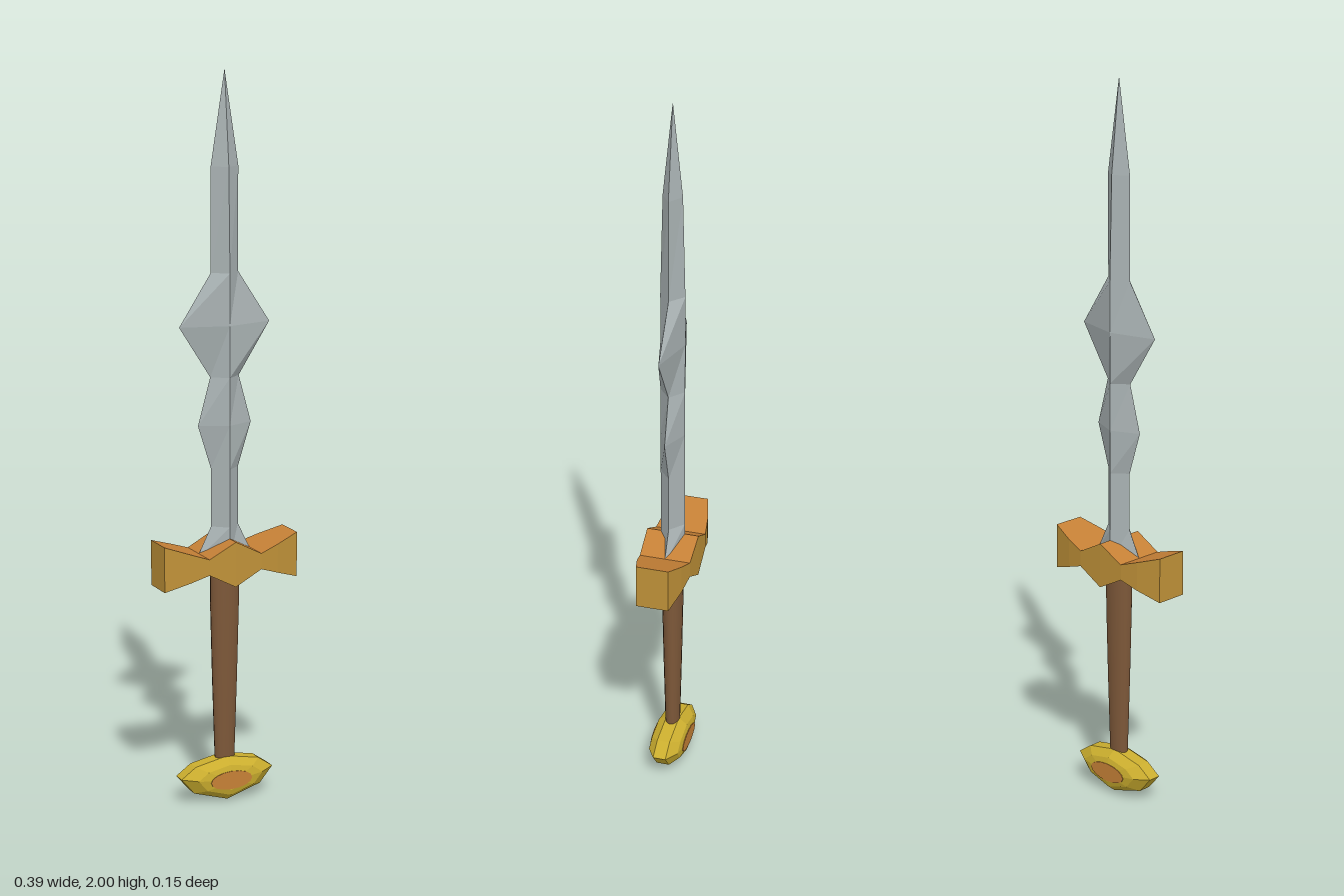
import * as THREE from 'three';

const material = (name, color) => {
  const m = new THREE.MeshStandardMaterial({ color });
  m.name = name;
  return m;
};

// Skins a list of rings (counter-clockwise about the direction of travel).
// edges limits which sides of the ring are skinned; caps closes the ends.
function loft(rings, { edges, caps = false } = {}) {
  const n = rings[0].length;
  const pos = [];
  const tri = (a, b, c) => pos.push(...a, ...b, ...c);
  for (let i = 0; i < rings.length - 1; i++) {
    for (const j of edges ?? rings[0].keys()) {
      const k = (j + 1) % n;
      const [a, b, c, d] = [rings[i][j], rings[i][k], rings[i + 1][k], rings[i + 1][j]];
      tri(a, b, c);
      tri(a, c, d);
    }
  }
  if (caps) {
    const first = rings[0], last = rings[rings.length - 1];
    for (let j = 1; j < n - 1; j++) {
      tri(first[0], first[j + 1], first[j]);
      tri(last[0], last[j], last[j + 1]);
    }
  }
  const g = new THREE.BufferGeometry();
  g.setAttribute('position', new THREE.Float32BufferAttribute(pos, 3));
  g.computeVertexNormals();
  return g;
}

export function createModel() {
  const steel = material('steel', 0xa9b2b3);
  const gold = material('gold', 0xbf9138);
  const copper = material('copper', 0xc58036);
  const wood = material('wood', 0x7d5839);
  const brass = material('brass', 0xcaad2e);

  const model = new THREE.Group();
  model.name = 'sword';
  const add = (name, geometry, mat, parent = model) => {
    const mesh = new THREE.Mesh(geometry, mat);
    mesh.name = name;
    parent.add(mesh);
    return mesh;
  };

  // Blade: diamond sections [height, half width, half thickness]
  const bladeSections = [
    [0.69, 0.085, 0.034], [0.78, 0.04, 0.034], [0.94, 0.04, 0.034],
    [1.06, 0.078, 0.034], [1.19, 0.042, 0.034], [1.33, 0.132, 0.034],
    [1.47, 0.04, 0.034], [1.75, 0.04, 0.027], [2.0, 0.0005, 0.0005],
  ];
  add('blade', loft(bladeSections.map(([y, w, t]) =>
    [[w, y, 0], [0, y, -t], [-w, y, 0], [0, y, t]]), { caps: true }), steel);

  // Guard: sections along x [x, half height, half depth], mirrored
  const half = [[0.077, 0.022, 0.071], [0.13, 0.04, 0.063], [0.197, 0.0625, 0.045]];
  const guardSections = [
    ...half.map(([x, h, d]) => [-x, h, d]).reverse(), [0, 0.0625, 0.073], ...half,
  ];
  const mid = 0.6865;
  const guardRings = guardSections.map(([x, h, d]) =>
    [[x, mid + h, -d], [x, mid + h, d], [x, mid - h, d], [x, mid - h, -d]]);
  const guard = new THREE.Group();
  guard.name = 'guard';
  model.add(guard);
  add('guardSides', loft(guardRings, { edges: [1, 3], caps: true }), gold, guard);
  add('guardTopAndBottom', loft(guardRings, { edges: [0, 2] }), copper, guard);

  // Grip: oval, tapering towards the pommel
  const profile = [[0.027, 0.1], [0.029, 0.13], [0.036, 0.35], [0.041, 0.55], [0.042, 0.67]];
  const grip = new THREE.LatheGeometry(profile.map(([r, y]) => new THREE.Vector2(r, y)), 16);
  grip.scale(1, 1, 0.7);
  add('grip', grip, wood);

  // Pommel: faceted lozenge with a flat inlay on both faces
  const cy = 0.066;
  const outline = [
    [0.138, 0.078], [0.095, 0.108], [0, 0.127], [-0.095, 0.108],
    [-0.138, 0.078], [-0.1, 0.033], [0, 0.002], [0.1, 0.033],
  ];
  const ring = (s, z) => outline.map(([x, y]) => [x * s, cy + (y - cy) * s, z]);
  const pommel = new THREE.Group();
  pommel.name = 'pommel';
  model.add(pommel);
  add('pommelBody', loft([
    ring(0.45, -0.047), ring(0.7, -0.042), ring(1, -0.018),
    ring(1, 0.018), ring(0.7, 0.042), ring(0.45, 0.047),
  ], { caps: true }), brass, pommel);

  const inlay = new THREE.CylinderGeometry(1, 1, 0.003, 16);
  inlay.rotateX(Math.PI / 2).scale(0.062, 0.026, 1);
  for (const side of [1, -1]) {
    add(side > 0 ? 'frontInlay' : 'backInlay', inlay, copper, pommel)
      .position.set(0, cy, side * 0.047);
  }

  return model;
}
